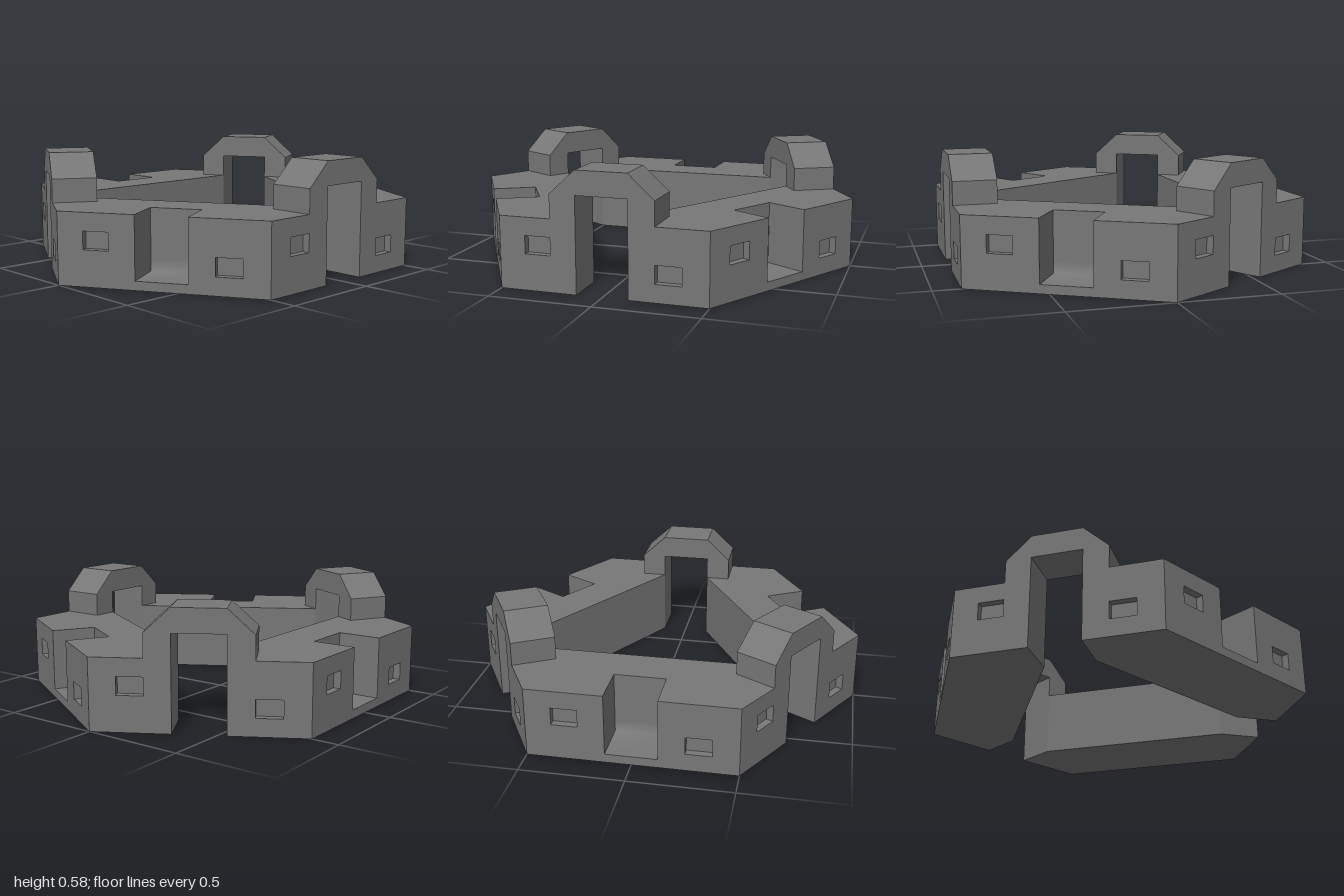
import * as THREE from 'three';
import { mergeGeometries } from 'three/addons/utils/BufferGeometryUtils.js';

const A = Math.sqrt(3) / 2;   // distance from centre to a side of the hexagon
const H = 0.4 * A;            // wall height
const BACK = 0.75 * A;        // back of notches and gate arches
const INNER = 0.5 * A;        // courtyard face of each block
const FLOOR = 0.05 * A;       // notch floor height
const G = 0.125;              // half width of gates and notches
const DEPTH = 0.037;          // window recess depth
const WIN_W = 0.125, WIN_H = 0.1 * A;
const HIGH = [-0.3125, 0.25 * A], LOW = [0.3125, 0.15 * A]; // window centres
const TURN = Math.PI / 3;

const polygon = (pts) => new THREE.Shape(pts.map(([x, y]) => new THREE.Vector2(x, y)));
const rect = (x0, x1, y0, y1) => [[x0, y0], [x1, y0], [x1, y1], [x0, y1]];

// Five-sided window niche, seen from inside
function niche([x, y]) {
  const g = new THREE.BoxGeometry(WIN_W, WIN_H, DEPTH);
  const idx = Array.from(g.index.array);
  idx.splice(24, 6);
  g.setIndex(idx.reverse());
  g.computeVertexNormals();
  return g.translate(x, y, A - DEPTH / 2);
}

// Outer wall face with window openings and their niches
function facade(outline, windows) {
  const shape = polygon(outline);
  for (const [x, y] of windows) {
    shape.holes.push(polygon(rect(x - WIN_W / 2, x + WIN_W / 2, y - WIN_H / 2, y + WIN_H / 2)));
  }
  return [new THREE.ShapeGeometry(shape).translate(0, 0, A), ...windows.map(niche)];
}

// Notch: back wall running into the floor with soft shading, and two flat cheeks
function notch() {
  const profile = [[BACK, H], [BACK, FLOOR + 0.06], [BACK, FLOOR], [A, FLOOR]]; // [z, y]
  const scoop = new THREE.PlaneGeometry(2 * G, 1, 1, profile.length - 1);
  const pos = scoop.attributes.position;
  for (let i = 0; i < pos.count; i++) {
    const [z, y] = profile[Math.floor(i / 2)];
    pos.setXYZ(i, pos.getX(i), y, z);
  }
  scoop.computeVertexNormals();
  const cheeks = [-1, 1].map((s) => new THREE.PlaneGeometry(A - BACK, H - FLOOR)
    .rotateY(-s * Math.PI / 2).translate(s * G, (H + FLOOR) / 2, (A + BACK) / 2));
  return [scoop, ...cheeks];
}

// One wall block: a notched side with half a side at each end
function blockGeometry() {
  const parts = [];
  parts.push(...facade([[-0.5, 0], [0.5, 0], [0.5, H], [G, H], [G, FLOOR],
    [-G, FLOOR], [-G, H], [-0.5, H]], [HIGH, LOW]));
  parts.push(...notch());

  // Half sides and the end walls facing the gates
  for (const s of [-1, 1]) {
    const outline = s > 0 ? rect(-0.5, -G, 0, H) : rect(G, 0.5, 0, H);
    const end = new THREE.PlaneGeometry(A - BACK, H).rotateY(s * Math.PI / 2)
      .translate(-s * G, H / 2, (A + BACK) / 2);
    for (const g of [...facade(outline, [s > 0 ? HIGH : LOW]), end]) {
      parts.push(g.rotateY(s * TURN));
    }
  }

  // Courtyard face
  parts.push(new THREE.PlaneGeometry(1, H).rotateY(Math.PI).translate(0, H / 2, INNER));

  // Underside and roof, the roof cut out above the notch
  const plan = [[0.5, A], [0.6875, 0.625 * A], [0.5, INNER],
    [-0.5, INNER], [-0.6875, 0.625 * A], [-0.5, A]];
  const roof = [...plan, [-G, A], [-G, BACK], [G, BACK], [G, A]];
  parts.push(new THREE.ShapeGeometry(polygon(plan)).rotateX(Math.PI / 2));
  parts.push(new THREE.ShapeGeometry(polygon(roof.map(([x, z]) => [x, -z])))
    .rotateX(-Math.PI / 2).translate(0, H, 0));

  return mergeGeometries(parts.map((g) => g.toNonIndexed()));
}

// Chamfered arch bridging the gap between two blocks
function archGeometry() {
  const mid = H + 0.1155, top = H + 0.231;
  const shape = polygon([[G, H], [2 * G, H], [2 * G, mid], [G, top], [-G, top],
    [-2 * G, mid], [-2 * G, H], [-G, H], [-G, mid], [G, mid]]);
  return new THREE.ExtrudeGeometry(shape, { depth: A - BACK, bevelEnabled: false })
    .translate(0, 0, BACK);
}

export function createModel() {
  const model = new THREE.Group();
  model.name = 'hexagonalWall';
  const material = new THREE.MeshStandardMaterial({ color: 0x777777 });
  const block = blockGeometry();
  const arch = archGeometry();
  const sides = ['front', 'frontLeft', 'backLeft', 'back', 'backRight', 'frontRight'];
  sides.forEach((side, i) => {
    const isGate = i % 2 === 0;
    const mesh = new THREE.Mesh(isGate ? arch : block, material);
    mesh.name = side + (isGate ? 'GateArch' : 'WallBlock');
    mesh.rotation.y = i * TURN;
    model.add(mesh);
  });
  return model;
}
